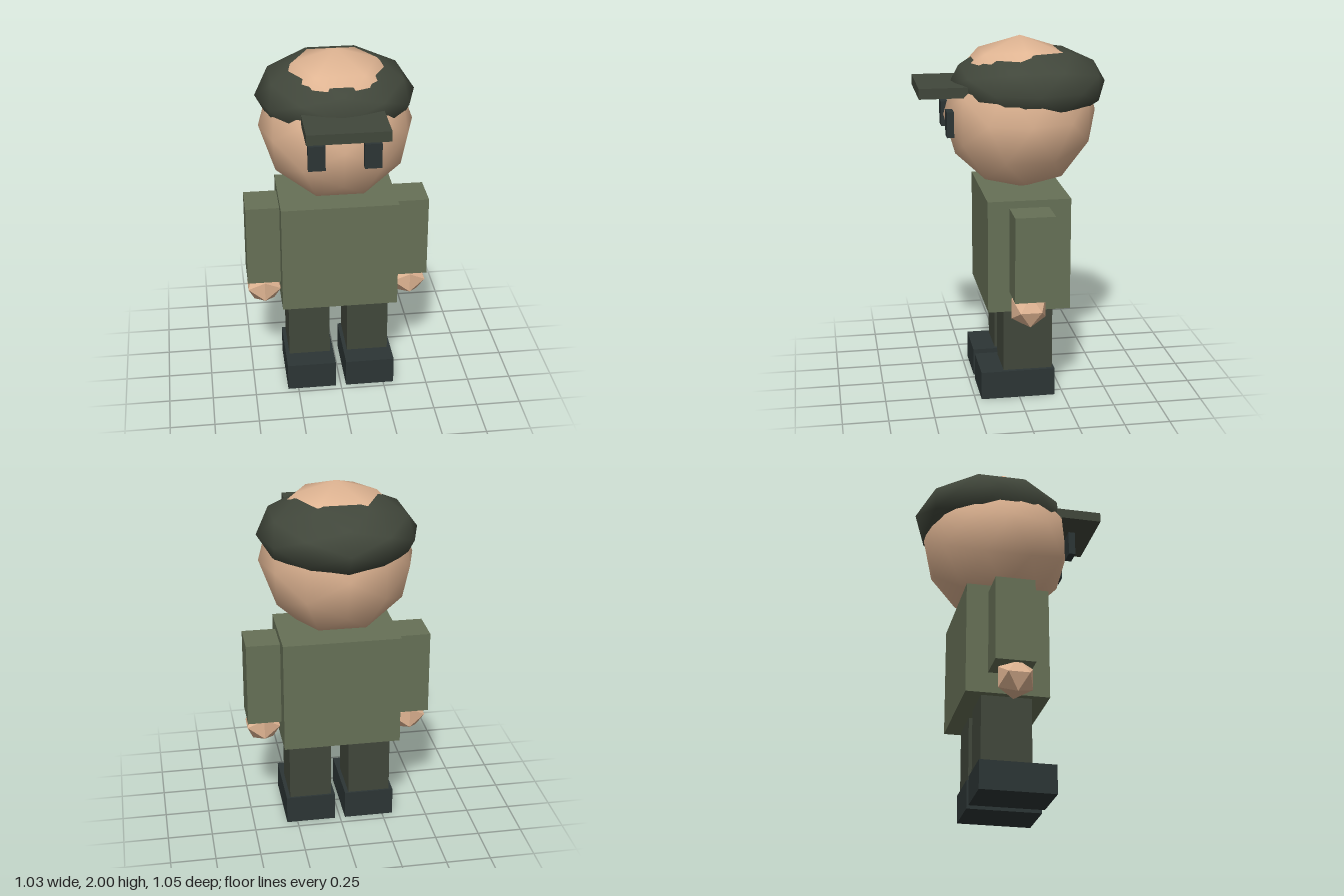
import * as THREE from 'three';

const mat = (name, color, extra = {}) => {
  const m = new THREE.MeshStandardMaterial({ color, ...extra });
  m.name = name;
  return m;
};

export function createModel() {
  const group = new THREE.Group();
  const skin = mat('skin', 0xe0b593);
  const jacketGreen = mat('jacketGreen', 0x667056);
  const darkGreen = mat('darkGreen', 0x41473b);
  const black = mat('blueBlack', 0x2c3535);

  const add = (name, geometry, material, x, y, z) => {
    const mesh = new THREE.Mesh(geometry, material);
    mesh.name = name;
    mesh.position.set(x, y, z);
    group.add(mesh);
    return mesh;
  };
  // Box given by its size, centre x and z, and bottom height
  const box = (name, material, w, h, d, x, bottom, z) =>
    add(name, new THREE.BoxGeometry(w, h, d), material, x, bottom + h / 2, z);

  // Body
  box('torso', jacketGreen, 0.655, 0.631, 0.457, 0, 0.525, -0.05);

  // Head, and a flattened cap that leaves the crown showing
  add('head', new THREE.IcosahedronGeometry(0.425, 1), skin, 0, 1.575, -0.05);
  add('cap', new THREE.IcosahedronGeometry(0.438, 1), darkGreen, 0, 1.735, -0.09).scale.y = 0.5;
  box('capBrim', darkGreen, 0.438, 0.057, 0.29, 0, 1.704, 0.381);

  // Paired parts
  for (const [side, s] of [['left', 1], ['right', -1]]) {
    box(side + 'Arm', jacketGreen, 0.19, 0.476, 0.218, s * 0.421, 0.64, -0.049);
    add(side + 'Hand', new THREE.IcosahedronGeometry(0.11, 0), skin, s * 0.42, 0.578, -0.03);
    box(side + 'Leg', darkGreen, 0.238, 0.365, 0.275, s * 0.17, 0.16, -0.05);
    box(side + 'Shoe', black, 0.28, 0.16, 0.415, s * 0.17, 0, 0.008);
    box(side + 'Eye', black, 0.092, 0.14, 0.038, s * 0.149, 1.485, 0.357);
  }
  return group;
}
